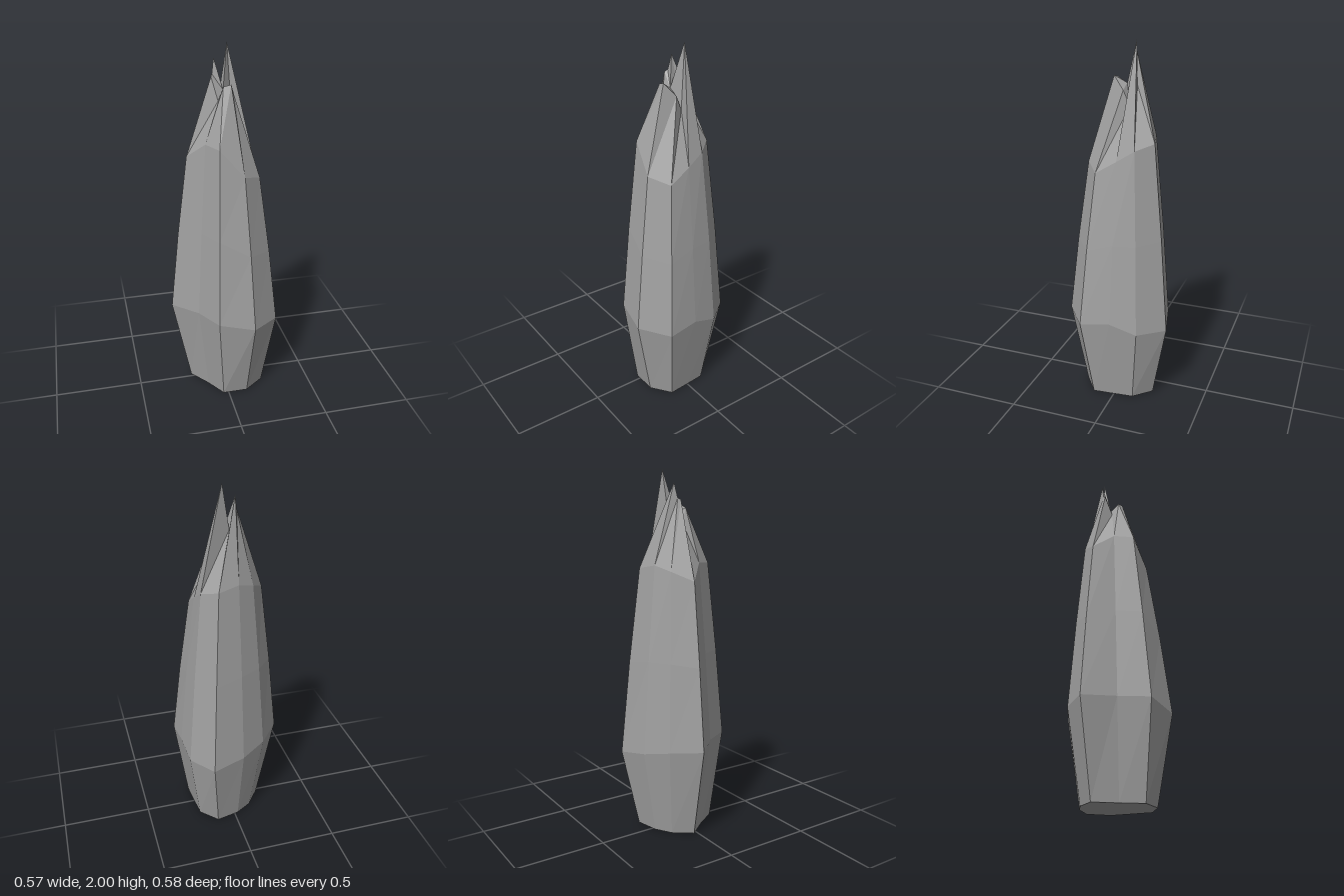
import * as THREE from 'three';

// Non-indexed triangles between stacked rings of [x, y, z], seen counterclockwise from above
function loft(rings) {
  const out = [];
  for (let r = 0; r < rings.length - 1; r++) {
    const lo = rings[r], hi = rings[r + 1], n = lo.length;
    for (let i = 0; i < n; i++) {
      const j = (i + 1) % n;
      out.push(...lo[i], ...lo[j], ...hi[j], ...lo[i], ...hi[j], ...hi[i]);
    }
  }
  return out;
}

// Fan that closes a ring towards a centre point
function fan(ring, centre, up) {
  return ring.flatMap((p, i) => {
    const q = ring[(i + 1) % ring.length];
    return up ? [...p, ...q, ...centre] : [...q, ...p, ...centre];
  });
}

function flatMesh(name, positions, material) {
  const geometry = new THREE.BufferGeometry();
  geometry.setAttribute('position', new THREE.Float32BufferAttribute(positions, 3));
  geometry.computeVertexNormals();
  const mesh = new THREE.Mesh(geometry, material);
  mesh.name = name;
  return mesh;
}

export function createModel() {
  const group = new THREE.Group();
  group.name = 'rockSpire';
  const stone = new THREE.MeshStandardMaterial({ color: 0xa0a0a0, flatShading: true, side: THREE.DoubleSide });
  stone.name = 'grey stone';

  // Foot, widest belt and shoulder, all starting at the -x corner
  const foot = [
    [-0.185, 0, -0.02], [-0.1, 0, 0.09], [-0.03, 0, 0.2], [0.11, 0, 0.2], [0.22, 0, 0.12],
    [0.21, 0, 0], [0.2, 0, -0.11], [0.11, 0, -0.205], [-0.02, 0, -0.175], [-0.11, 0, -0.12],
  ];
  const belt = [
    [-0.288, 0.51, -0.03], [-0.155, 0.52, 0.11], [-0.068, 0.52, 0.26], [0.13, 0.48, 0.29], [0.285, 0.465, 0.17],
    [0.276, 0.49, 0], [0.258, 0.44, -0.15], [0.15, 0.44, -0.29], [-0.03, 0.47, -0.25], [-0.17, 0.5, -0.172],
  ];
  const shoulder = [
    [-0.185, 1.42, -0.025], [-0.1, 1.51, 0.065], [-0.045, 1.505, 0.162], [0.085, 1.355, 0.182], [0.185, 1.32, 0.105],
    [0.18, 1.39, -0.01], [0.167, 1.45, -0.105], [0.095, 1.48, -0.192], [-0.018, 1.5, -0.165], [-0.108, 1.47, -0.12],
  ];
  // Slightly bulging waist halfway between belt and shoulder
  const waist = belt.map((p, i) => p.map((v, k) => (v + shoulder[i][k]) / 2 * (k === 1 ? 1 : 1.02)));
  // Jagged crown of peaks and notches
  const crown = [
    [-0.05, 1.84, -0.02], [-0.02, 1.72, 0.012], [0, 1.8, 0.045], [0.04, 1.81, 0.05], [0.07, 1.74, -0.01],
    [0.063, 1.66, -0.045], [0.045, 2, -0.075], [0.005, 1.76, -0.065], [-0.03, 1.93, -0.05], [-0.042, 1.85, -0.035],
  ];

  group.add(flatMesh('shaft', loft([foot, belt, waist, shoulder]), stone));
  group.add(flatMesh('jaggedTip', [...loft([shoulder, crown]), ...fan(crown, [0.012, 1.77, -0.012], true)], stone));
  group.add(flatMesh('underside', fan(foot, [0, 0, 0], false), stone));
  return group;
}
